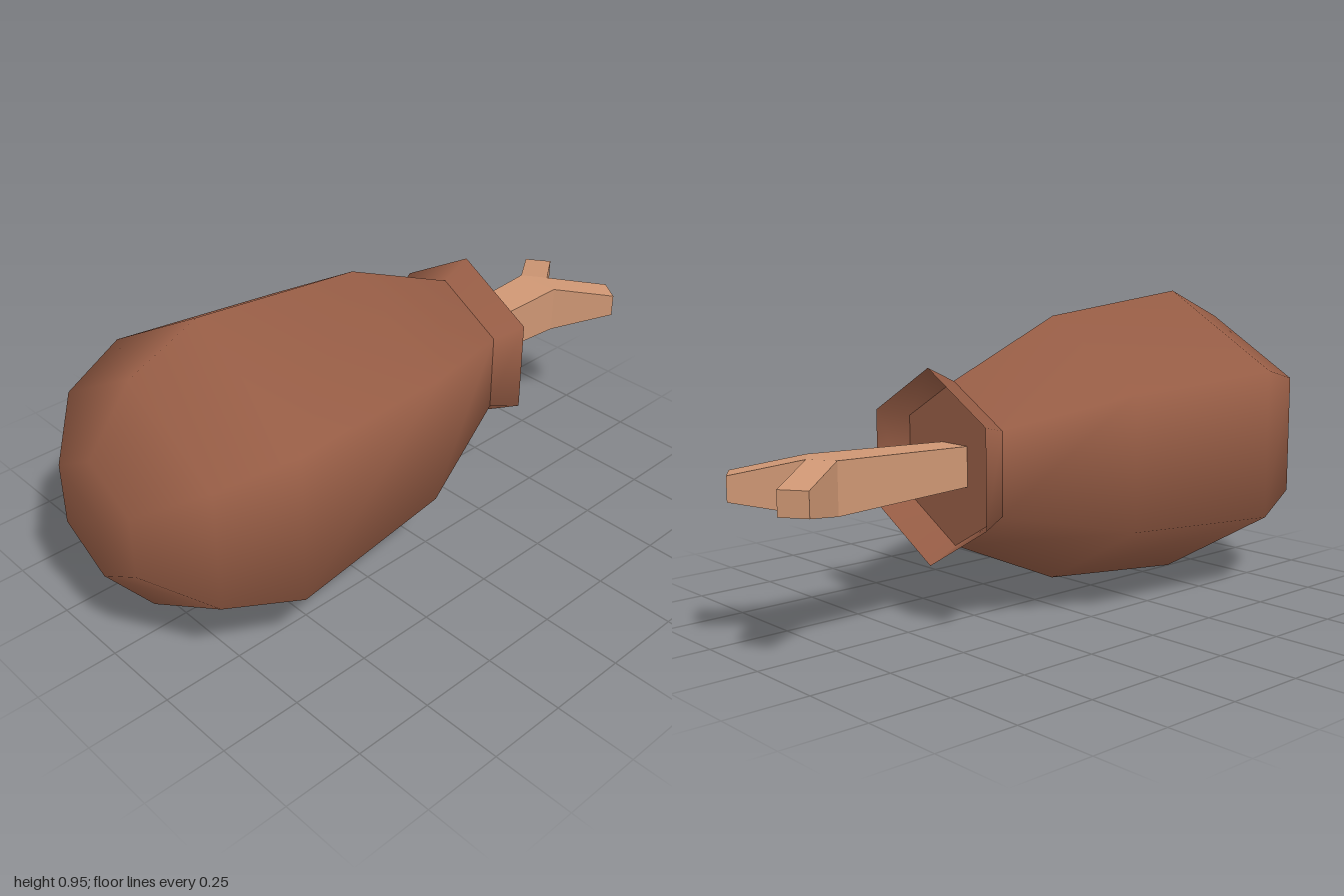
import * as THREE from 'three';

const AXIS_Y = 0.475;
const SIDES = 6;

export function createModel() {
  const group = new THREE.Group();
  const brown = new THREE.MeshStandardMaterial({ color: 0x9a5f47, side: THREE.DoubleSide });
  brown.name = 'brown';
  const tan = new THREE.MeshStandardMaterial({ color: 0xcf9774 });
  tan.name = 'tan';

  const add = (name, geometry, material) => {
    const mesh = new THREE.Mesh(geometry, material);
    mesh.name = name;
    mesh.position.y = AXIS_Y;
    group.add(mesh);
  };

  // six-sided turned shape lying along z, from [radius, z] pairs
  const turned = (profile) => new THREE.LatheGeometry(
    profile.map(([r, z]) => new THREE.Vector2(r, z)), SIDES).rotateX(Math.PI / 2);

  // rounded sack, neck to front end
  add('body', turned([
    [0.245, -0.32], [0.415, 0.075], [0.473, 0.63], [0.378, 0.853], [0.19, 1], [0, 1],
  ]), brown);

  // flared open collar behind the neck
  add('collar', turned([[0.29, -0.415], [0.245, -0.32]]), brown);

  // flat plate closing the neck inside the collar
  const plate = new THREE.CircleGeometry(0.245, SIDES, Math.PI / 2);
  add('neckPlate', plate.rotateY(Math.PI).translate(0, 0, -0.32), brown);

  // forked stick: outline seen from above, as [x, distance behind the centre]
  const half = [[0.058, 0.32], [0.073, 0.78], [0.196, 0.95], [0.124, 1]];
  const outline = [
    ...half, [0, 0.83],
    ...half.map(([x, d]) => [-x, d]).reverse(),
  ].map(([x, d]) => new THREE.Vector2(x, d));
  const stick = new THREE.ExtrudeGeometry(new THREE.Shape(outline), { depth: 1, bevelEnabled: false });
  stick.rotateX(-Math.PI / 2);

  // thickness swells up to the fork and thins at the tips
  const pos = stick.attributes.position;
  for (let i = 0; i < pos.count; i++) {
    const d = -pos.getZ(i);
    const h = d > 0.9 ? 0.036 : THREE.MathUtils.mapLinear(Math.min(d, 0.78), 0.32, 0.78, 0.06, 0.076);
    pos.setY(i, pos.getY(i) > 0.5 ? h : -h);
  }
  stick.computeVertexNormals();
  add('forkedStick', stick, tan);

  return group;
}
